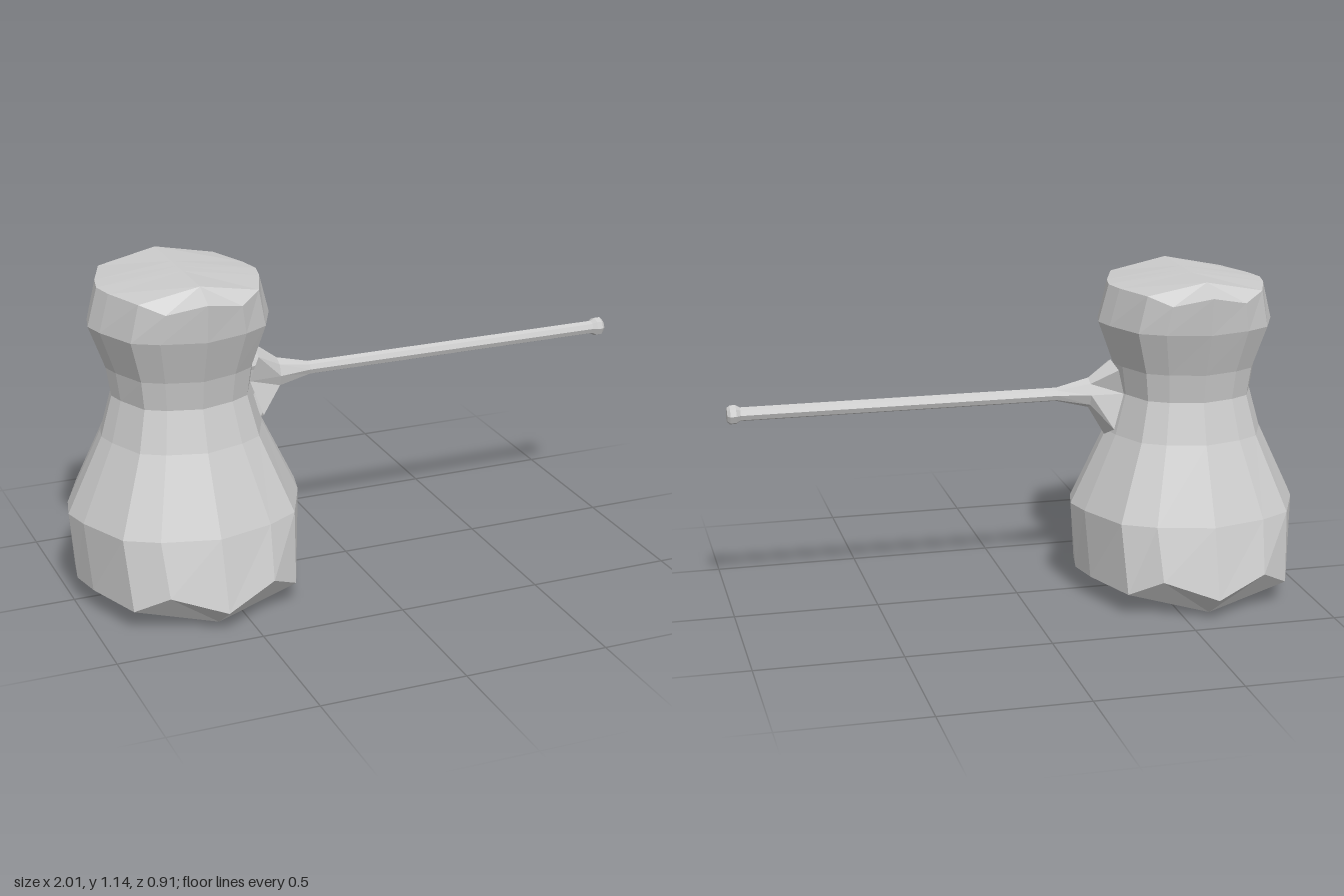
import * as THREE from 'three';

const material = new THREE.MeshStandardMaterial({ color: 0xcccccc, flatShading: true, side: THREE.DoubleSide });

// Skin a list of closed rings (equal point counts), skipping collapsed triangles
function loft(name, rings) {
  const pos = [];
  const tri = (a, b, c) => {
    const area = b.clone().sub(a).cross(c.clone().sub(a)).length();
    if (area > 1e-7) for (const p of [a, b, c]) pos.push(p.x, p.y, p.z);
  };
  for (let j = 0; j < rings.length - 1; j++) {
    const lower = rings[j], upper = rings[j + 1], n = lower.length;
    for (let i = 0; i < n; i++) {
      const k = (i + 1) % n;
      tri(lower[i], upper[i], lower[k]);
      tri(lower[k], upper[i], upper[k]);
    }
  }
  const geometry = new THREE.BufferGeometry();
  geometry.setAttribute('position', new THREE.Float32BufferAttribute(pos, 3));
  geometry.computeVertexNormals();
  const mesh = new THREE.Mesh(geometry, material);
  mesh.name = name;
  return mesh;
}

// One quadrant of the 16-sided body section: [x, z] fractions, side to front
const quadrant = [[1, 0], [0.94, 0.25], [0.74, 0.71], [0.47, 0.87], [0, 1]];
const section = Array.from({ length: 16 }, (_, i) => {
  const q = Math.floor(i / 4), r = i % 4;
  const [x, z] = quadrant[q % 2 ? 4 - r : r];
  return { x: q === 1 || q === 2 ? -x : x, z: q >= 2 ? -z : z, corner: x === 0.47 };
});

const AXIS = -0.6;

// Body ring; the corner points next to front and back can be shifted in height
const bodyRing = (y, rx, rz, shift = 0) =>
  section.map(p => new THREE.Vector3(AXIS + p.x * rx, y + (p.corner ? shift : 0), p.z * rz));

// Ring collapsed to a ridge line running front to back
const ridge = (y, half) =>
  section.map(p => new THREE.Vector3(AXIS, y, Math.abs(p.z) > 0.5 ? Math.sign(p.z) * half : p.z * half));

// Octagonal handle ring, separate radii up, down and sideways
const HANDLE_Y = 0.72;
const handleRing = (x, up, down = up, wide = up) =>
  Array.from({ length: 8 }, (_, i) => {
    const a = i * Math.PI / 4, c = Math.cos(a);
    return new THREE.Vector3(x, HANDLE_Y + c * (c > 0 ? up : down), -Math.sin(a) * wide);
  });

export function createModel() {
  const group = new THREE.Group();
  group.name = 'pot';

  // Waisted body with hipped base and lid
  group.add(loft('body', [
    ridge(0, 0.345),
    bodyRing(0.08, 0.385, 0.455, 0.06),
    bodyRing(0.32, 0.405, 0.39),
    bodyRing(0.58, 0.28, 0.275),
    bodyRing(0.72, 0.24, 0.235),
    bodyRing(0.82, 0.255, 0.25),
    bodyRing(0.97, 0.31, 0.3),
    bodyRing(1.1, 0.275, 0.315, -0.03),
    ridge(1.14, 0.235),
  ]));

  // Foot of the handle, following the curve of the waist
  const foot = [
    [-0.335, 0.833, 0], [-0.345, 0.81, -0.07], [-0.37, 0.72, -0.05], [-0.33, 0.6, -0.073],
    [-0.315, 0.565, 0], [-0.33, 0.6, 0.073], [-0.37, 0.72, 0.05], [-0.345, 0.81, 0.07],
  ].map(p => new THREE.Vector3(...p));

  // Long thin handle with a flared root
  group.add(loft('handle', [
    foot,
    handleRing(-0.255, 0.053, 0.053, 0.045),
    handleRing(-0.14, 0.024),
    handleRing(0.96, 0.024),
  ]));

  // Small knob at the tip
  group.add(loft('handleKnob', [
    handleRing(0.955, 0.024),
    handleRing(0.97, 0.033),
    handleRing(0.99, 0.033),
    handleRing(1.0, 0.024),
    handleRing(1.0, 0),
  ]));

  return group;
}
